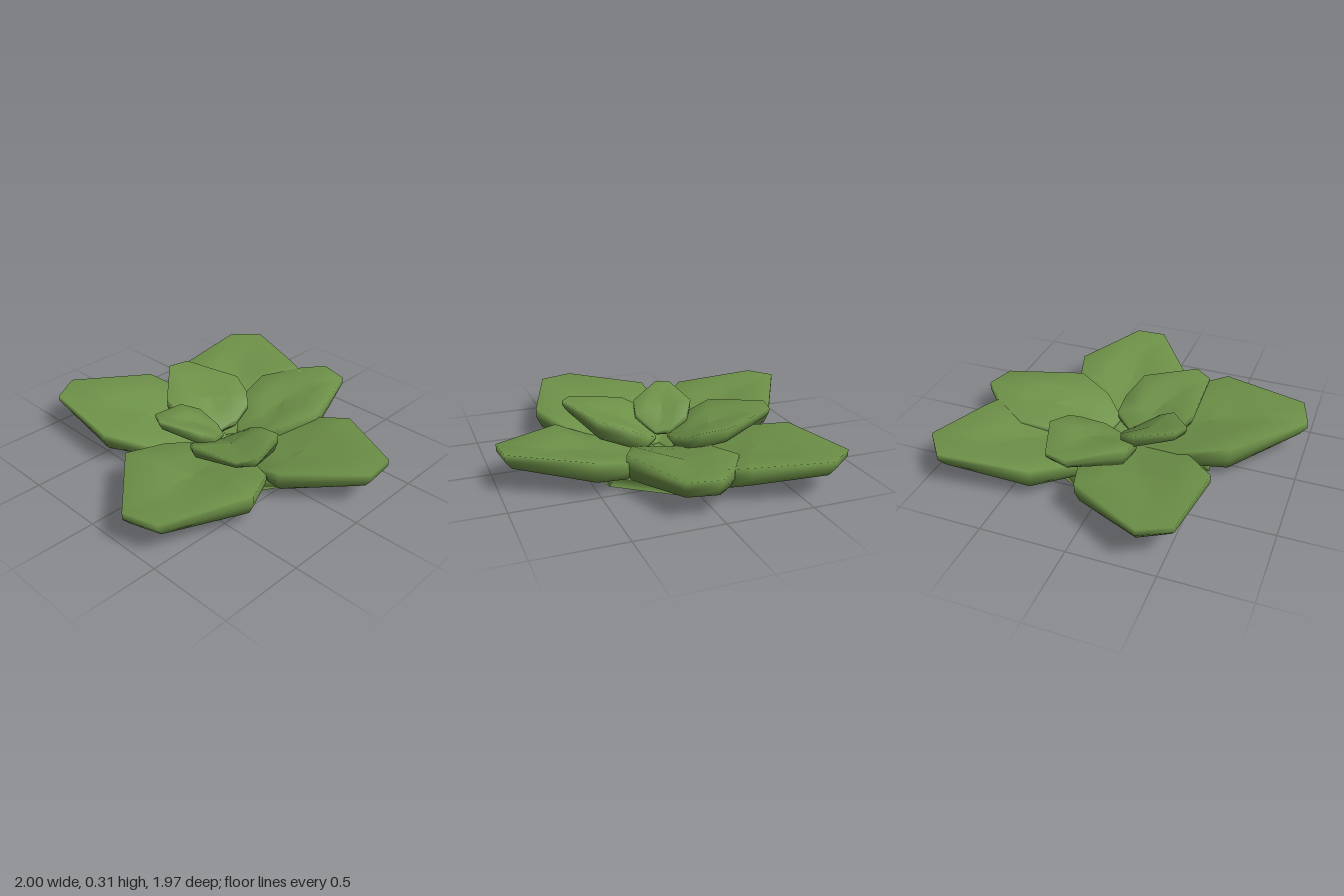
import * as THREE from 'three';

const green = new THREE.MeshStandardMaterial({ color: 0x6d9148 });

function smoothMesh(name, pos, idx) {
  const geo = new THREE.BufferGeometry();
  geo.setAttribute('position', new THREE.Float32BufferAttribute(pos, 3));
  geo.setIndex(idx);
  geo.computeVertexNormals();
  const mesh = new THREE.Mesh(geo, green);
  mesh.name = name;
  return mesh;
}

// Fleshy leaf lofted from its rim of [x, z, height] points. The upper side follows
// the rim; the flat underside climbs from rootY at the plant's centre to the tip.
function leaf(name, rim, thick, dip, rootY) {
  const n = rim.length;
  const area = rim.reduce((s, p, i) => {
    const q = rim[(i + 1) % n];
    return s + p[0] * q[1] - q[0] * p[1];
  }, 0);
  if (area > 0) rim = rim.slice().reverse();
  const mid = [0, 1, 2].map((k) => rim.reduce((s, p) => s + p[k], 0) / n);

  const len = Math.hypot(mid[0] - 0.04, mid[1]);
  const along = (x, z) => Math.max(0, ((x - 0.04) * (mid[0] - 0.04) + z * mid[1]) / len);
  const reach = Math.max(...rim.map((p) => along(p[0], p[1])));
  const tipY = Math.max(...rim.map((p) => p[2])) - thick;

  // Rings from the upper centre over the rim to the underside: [scale, share of depth]
  const rings = [[0.02, 0], [0.5, 0], [1, 0], [1, 0.5], [0.93, 1], [0.5, 1], [0.02, 1]];
  const pos = [], idx = [];
  rings.forEach(([s, depth]) => {
    rim.forEach((p) => {
      const x = mid[0] + (p[0] - mid[0]) * s, z = mid[1] + (p[1] - mid[1]) * s;
      const top = mid[2] + (p[2] - mid[2]) * s - dip * (1 - s * s);
      const low = Math.min(top - 0.03, rootY + (tipY - rootY) * along(x, z) / reach);
      pos.push(x, top + (low - top) * depth, z);
    });
  });
  for (let r = 0; r < rings.length - 1; r++) {
    for (let i = 0; i < n; i++) {
      const a = r * n + i, b = r * n + (i + 1) % n;
      idx.push(a, a + n, b, b, a + n, b + n);
    }
  }
  // Close the tiny centre holes
  const last = (rings.length - 1) * n;
  for (let i = 1; i < n - 1; i++) {
    idx.push(0, i, i + 1, last, last + i + 1, last + i);
  }
  return smoothMesh(name, pos, idx);
}

// Shallow base with eight corners, slightly turned
function base() {
  const pos = [0.06, 0.05, 0, 0.06, 0.012, 0], idx = [];
  for (let i = 0; i < 8; i++) {
    const t = 0.18 + i * Math.PI / 4;
    const x = 0.585 * Math.cos(t), z = 0.51 * Math.sin(t);
    pos.push(0.06 + x * 0.86, 0.045, z * 0.86, 0.06 + x, 0.012, z);
    const a = 2 + i * 2, b = 2 + ((i + 1) % 8) * 2;
    idx.push(0, b, a, a, b, a + 1, b, b + 1, a + 1, 1, a + 1, b + 1);
  }
  return smoothMesh('base', pos, idx);
}

export function createModel() {
  const group = new THREE.Group();
  group.name = 'rosettePlant';
  group.add(base());

  // Outer leaves
  group.add(
    leaf('outerLeafBack', [[-0.55, -0.89, 0.26], [-0.38, -0.985, 0.27], [0.06, -0.73, 0.24],
      [0.15, -0.45, 0.18], [0.08, -0.05, 0.06], [-0.1, 0, 0.06], [-0.4, -0.15, 0.14],
      [-0.595, -0.39, 0.22]], 0.08, 0.01, 0),
    leaf('outerLeafBackLeft', [[0.34, -0.705, 0.22], [0.87, -0.77, 0.245], [1, -0.61, 0.25],
      [0.87, -0.2, 0.225], [0.82, -0.08, 0.215], [0.2, 0, 0.06], [0.05, -0.1, 0.06],
      [0.15, -0.48, 0.16]], 0.08, 0.01, 0),
    leaf('outerLeafLeft', [[0.62, -0.25, 0.195], [0.85, -0.11, 0.22], [0.965, 0.01, 0.235],
      [0.92, 0.19, 0.23], [0.47, 0.345, 0.22], [0.25, 0.24, 0.17], [0.12, 0.12, 0.1],
      [0.15, -0.03, 0.09], [0.35, -0.2, 0.15]], 0.09, 0.01, 0),
    leaf('outerLeafFront', [[-0.16, 0.58, 0.2], [0.13, 0.98, 0.245], [0.31, 0.965, 0.25],
      [0.54, 0.53, 0.23], [0.49, 0.34, 0.18], [0.22, 0.02, 0.06], [0.02, 0.03, 0.06],
      [-0.12, 0.4, 0.13]], 0.08, 0.01, 0),
    leaf('outerLeafRight', [[-0.64, -0.14, 0.23], [-1, 0.27, 0.235], [-0.94, 0.475, 0.235],
      [-0.42, 0.635, 0.22], [-0.17, 0.5, 0.16], [0.02, 0.12, 0.06], [-0.02, -0.06, 0.06],
      [-0.33, -0.16, 0.14]], 0.08, 0.01, 0));

  // Inner leaves
  group.add(
    leaf('innerLeafBack', [[0.15, -0.64, 0.3], [0.28, -0.61, 0.3], [0.41, -0.28, 0.26],
      [0.35, -0.14, 0.23], [0.3, -0.08, 0.19], [0.16, -0.04, 0.15], [0, -0.07, 0.11],
      [-0.1, -0.2, 0.18], [-0.1, -0.39, 0.26]], 0.05, 0.01, 0.06),
    leaf('innerLeafFront', [[-0.35, 0.1, 0.25], [-0.35, 0.44, 0.3], [-0.25, 0.51, 0.31],
      [0.06, 0.38, 0.27], [0.12, 0.2, 0.21], [0.13, 0.1, 0.16], [0, 0, 0.1],
      [-0.2, 0, 0.17], [-0.31, 0.04, 0.22]], 0.05, 0.01, 0.06),
    leaf('innerLeafTop', [[-0.38, -0.14, 0.32], [-0.34, -0.22, 0.32], [-0.1, -0.265, 0.27],
      [0, -0.2, 0.22], [0.03, -0.08, 0.15], [0, 0, 0.13], [-0.15, 0.08, 0.21],
      [-0.24, 0.06, 0.26]], 0.05, 0, 0.09));
  return group;
}
